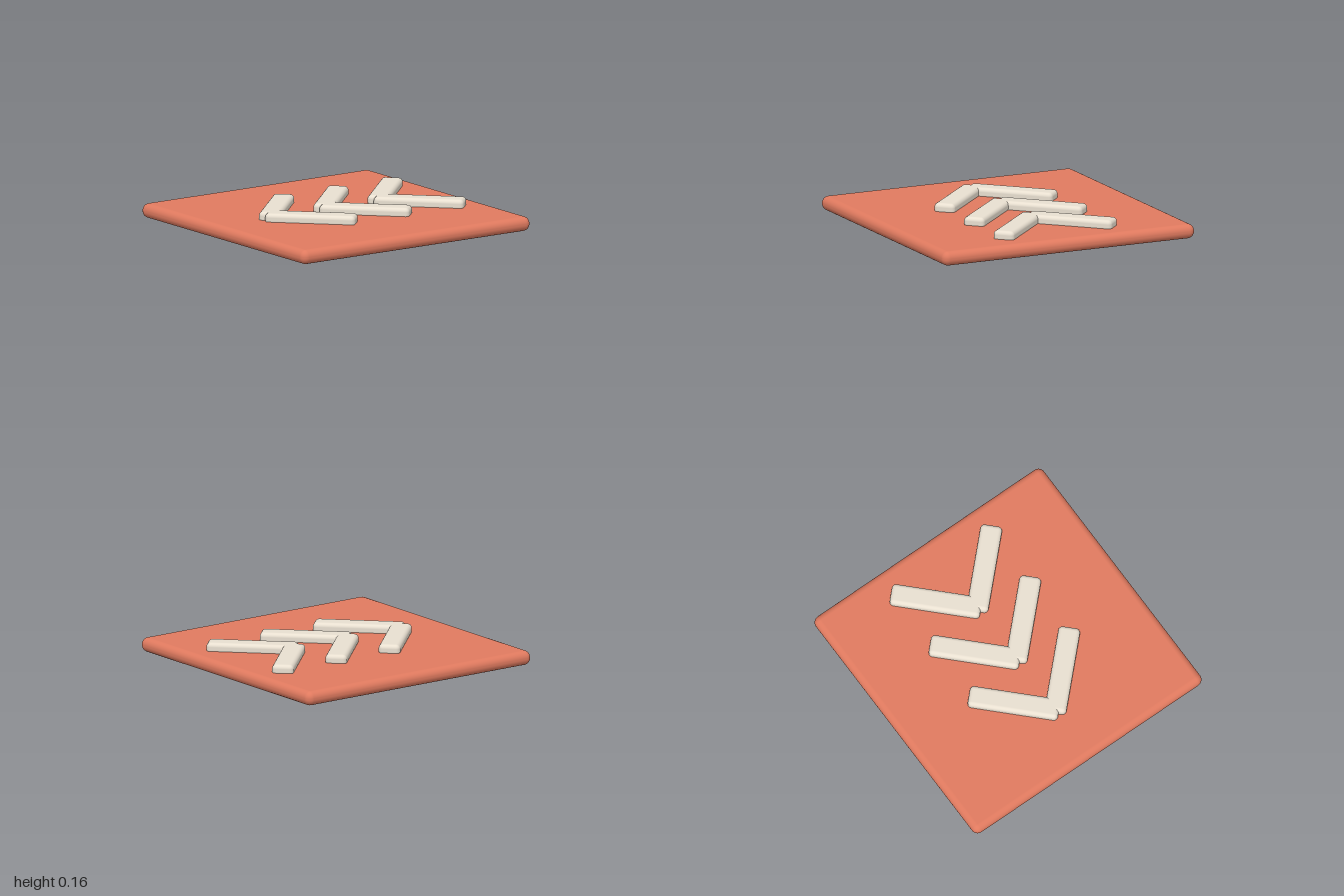
import * as THREE from 'three';
import { RoundedBoxGeometry } from 'three/addons/geometries/RoundedBoxGeometry.js';

export function createModel() {
  const model = new THREE.Group();
  model.name = 'chevronTile';

  const tileMaterial = new THREE.MeshStandardMaterial({ color: 0xe07a5f });
  const barMaterial = new THREE.MeshStandardMaterial({ color: 0xe8dfd0 });

  // Square base with fully rounded rim
  const base = new THREE.Mesh(new RoundedBoxGeometry(2, 0.105, 2, 4, 0.05), tileMaterial);
  base.name = 'base';
  base.position.y = 0.0525;
  model.add(base);

  // Three chevrons pointing to the front, each of two mirrored bars sunk slightly into the base
  const barGeometry = new RoundedBoxGeometry(0.65, 0.08, 0.155, 4, 0.03);
  for (let i = 0; i < 3; i++) {
    const chevron = new THREE.Group();
    chevron.name = `chevron${i + 1}`;
    chevron.position.set(0, 0.125, -0.5825 + i * 0.475);
    for (const side of [-1, 1]) {
      const bar = new THREE.Mesh(barGeometry, barMaterial);
      bar.name = side > 0 ? 'leftBar' : 'rightBar';
      bar.position.x = side * 0.2125;
      bar.rotation.y = side * Math.PI / 4;
      chevron.add(bar);
    }
    model.add(chevron);
  }

  return model;
}
